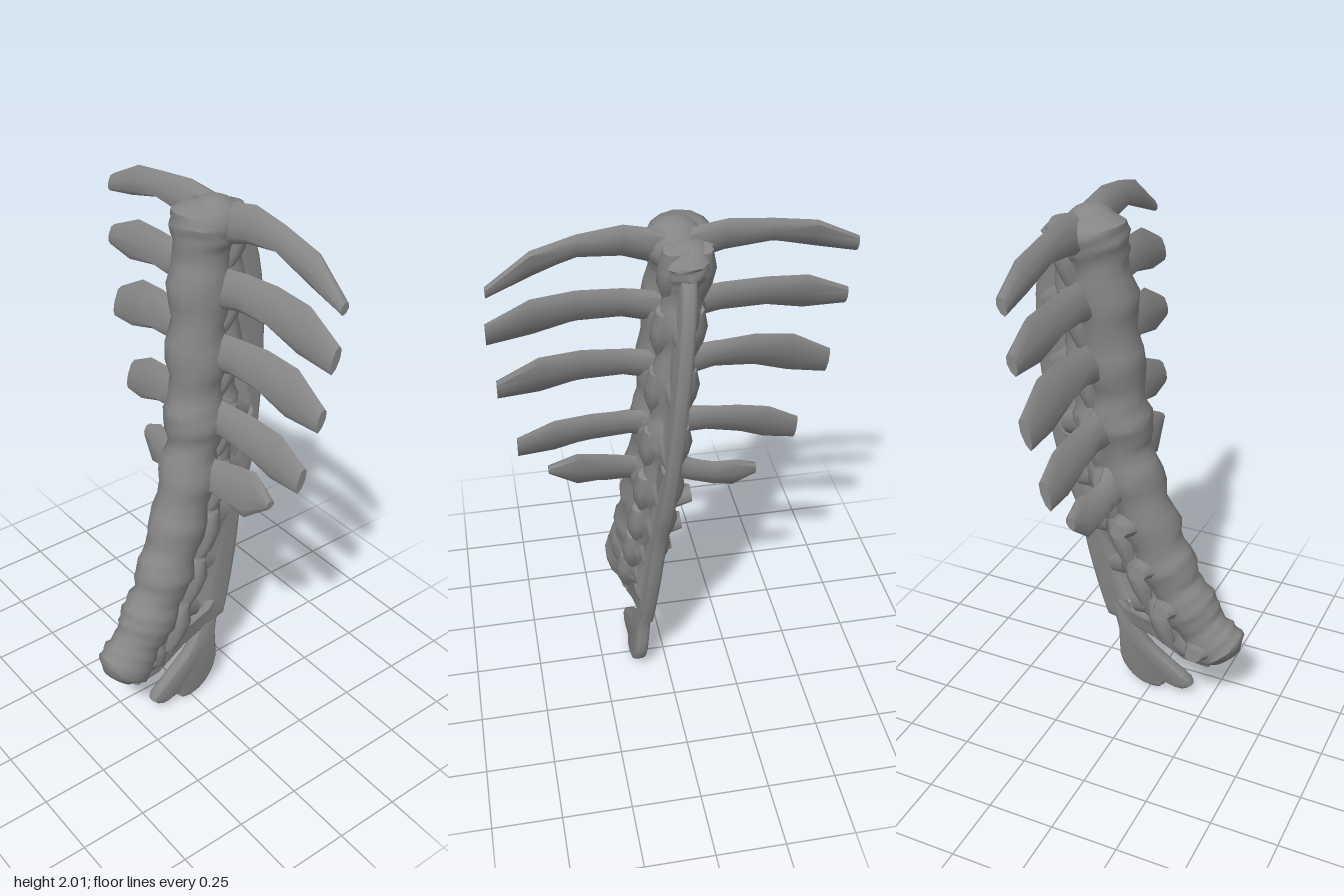
import * as THREE from 'three';
import { toCreasedNormals } from 'three/addons/utils/BufferGeometryUtils.js';

const bone = new THREE.MeshStandardMaterial({ color: 0x868686, side: THREE.DoubleSide });
const V = (x, y, z) => new THREE.Vector3(x, y, z);
const { lerp } = THREE.MathUtils;
const planeZ = (y) => 0.115 - 0.073 * y; // the middle plane leans with height

// Closed skin over rings {c, u, v}: centre and two half axes
function loft(rings, sides, lump) {
  const pos = [], idx = [];
  rings.forEach(({ c, u, v }, i) => {
    for (let k = 0; k < sides; k++) {
      const a = (k / sides) * Math.PI * 2;
      const s = 1 + lump * (Math.sin(3 * a + i * 1.7) + Math.sin(2 * a - i * 2.3));
      pos.push(...c.clone().addScaledVector(u, Math.cos(a) * s).addScaledVector(v, Math.sin(a) * s));
    }
  });
  const n = rings.length, first = n * sides, last = first + 1, top = first - sides;
  pos.push(...rings[0].c, ...rings[n - 1].c);
  const axis = rings[n - 1].c.clone().sub(rings[0].c);
  const flip = rings[0].u.clone().cross(rings[0].v).dot(axis) < 0;
  const tri = (a, b, c) => (flip ? idx.push(a, c, b) : idx.push(a, b, c));
  for (let k = 0; k < sides; k++) {
    const m = (k + 1) % sides;
    for (let i = 0; i < top; i += sides) {
      tri(i + k, i + m, i + m + sides);
      tri(i + k, i + m + sides, i + k + sides);
    }
    tri(first, m, k);
    tri(last, top + k, top + m);
  }
  const g = new THREE.BufferGeometry();
  g.setAttribute('position', new THREE.Float32BufferAttribute(pos, 3));
  g.setIndex(idx);
  return toCreasedNormals(g, 0.9);
}

// Centre line of the column and the heights of its vertebrae
const line = new THREE.CatmullRomCurve3(
  [[0.165, 1.97], [0.14, 1.83], [0.095, 1.35], [0.07, 1.1], [-0.05, 0.7], [-0.14, 0.5], [-0.23, 0.36], [-0.32, 0.25]]
    .map(([x, y]) => V(x, y, planeZ(y))));
const samples = line.getPoints(300);
const levels = [1.91, 1.69, 1.46, 1.22, 1, 0.81, 0.63, 0.46, 0.29];
const atHeight = (y) => samples.find((p) => p.y <= y);

// Beaded tube following the column at an offset, down to a fraction of its length
function beaded(offset, rx, rz, depth, lump, reach) {
  const rings = [], N = 54;
  for (let i = 0; i <= N; i++) {
    const t = reach * i / N, c = line.getPoint(t), tan = line.getTangent(t);
    const out = V(-tan.y, tan.x, 0).normalize();
    const near = Math.min(...levels.map((y) => Math.abs(y - c.y)));
    const end = Math.min(1, 0.6 + Math.min(i, N - i) * 0.2);
    const s = end * (1 + depth * (Math.cos(near * 28) - 0.2));
    // sideways width shrinks gently towards the lower end
    rings.push({ c: c.addScaledVector(out, offset), u: out.multiplyScalar(rx * s), v: V(0, 0, rz * s * (1 - 0.2 * t * t)) });
  }
  return loft(rings, 14, lump);
}

// Ribs per level: reach in z, tip drop, arch, half height along the blade and at the tip
const frontRibs = [
  [0.58, -0.09, 0.08, 0.044, 0.02], [0.59, -0.03, 0.05, 0.066, 0.045], [0.57, -0.02, 0.045, 0.07, 0.04],
  [0.52, -0.03, 0.03, 0.066, 0.045], [0.42, 0.05, 0, 0.074, 0.015]];
const backRibs = [
  [-0.585, -0.05, 0.05, 0.045, 0.03], [-0.57, -0.02, 0.03, 0.062, 0.035], [-0.53, -0.04, 0.045, 0.075, 0.055],
  [-0.44, -0.07, 0.02, 0.07, 0.055], [-0.31, -0.03, -0.03, 0.064, 0.025]];

// Flattened blade, its height leaning along the column and its edge thinning outwards
function rib(y, [reach, drop, arch, blade, tip]) {
  const x = atHeight(y).x + 0.04, heights = [0.07, 0.058, blade, blade * 1.1, tip];
  const tipX = reach > 0 ? x + 0.02 : lerp(x, 0.16, 0.5);
  return loft(heights.map((h, i) => {
    const t = i / 4;
    return {
      c: V(lerp(x, tipX, t), y + drop * t + arch * 4 * t * (1 - t), lerp(0.02 * Math.sign(reach), reach, t)),
      u: V(lerp(0.042, 0.017, Math.sqrt(t)), 0, 0),
      v: V(h * 0.3, h, 0),
    };
  }), 8, 0.05);
}

// Thin bevelled plate in the leaning middle plane
function plate(outline, holes) {
  const shape = new THREE.Shape(outline);
  shape.holes = holes.map(([x, y, rx, ry, turn]) =>
    new THREE.Path(new THREE.EllipseCurve(x, y, rx, ry, 0, Math.PI * 2, true, turn).getPoints(7).slice(0, 7)));
  const g = new THREE.ExtrudeGeometry(shape, {
    depth: 0.02, bevelSize: 0.012, bevelThickness: 0.014, bevelSegments: 2,
  });
  const p = g.attributes.position;
  for (let i = 0; i < p.count; i++) p.setZ(i, p.getZ(i) - 0.01 + planeZ(p.getY(i)));
  return toCreasedNormals(g, 0.9);
}
const spline = (pts, closed) => new THREE.CatmullRomCurve3(pts.map(([x, y]) => V(x, y, 0)), closed)
  .getPoints(32).slice(0, closed ? 32 : 33).map((p) => new THREE.Vector2(p.x, p.y));

// Outer edge of the joined spines, lower rim, then back up the column
function spinePlate() {
  const outer = spline([[0.2, 1.97], [0.28, 1.9], [0.345, 1.8], [0.38, 1.5], [0.33, 1], [0.265, 0.8],
    [0.23, 0.6], [0.19, 0.42], [0.165, 0.33]]);
  const rim = [[0.08, 0.31], [-0.03, 0.27], [-0.15, 0.2], [-0.24, 0.19]].map(([x, y]) => new THREE.Vector2(x, y));
  const inner = [];
  for (let y = 0.36; y < 1.95; y += 0.17) inner.push(new THREE.Vector2(atHeight(y).x, y));
  return plate([...outer, ...rim, ...inner],
    [[0.275, 1.16, 0.06, 0.045, 0], [0.17, 0.78, 0.045, 0.03, 0], [0.03, 0.38, 0.1, 0.034, 0.25]]);
}

// Lumpy spindle between two points; radii run along it
function spindle(from, to, radii, flat) {
  const dir = to.clone().sub(from).normalize();
  const side = dir.clone().cross(Math.abs(dir.z) > 0.8 ? V(0, 1, 0) : V(0, 0, 1)).normalize();
  const other = dir.clone().cross(side);
  return loft(radii.map((r, i) => ({
    c: from.clone().lerp(to, i / (radii.length - 1)),
    u: side.clone().multiplyScalar(r),
    v: other.clone().multiplyScalar(r * flat),
  })), 10, 0.06);
}

export function createModel() {
  const model = new THREE.Group();
  const add = (name, geometry) => {
    const mesh = new THREE.Mesh(geometry, bone);
    mesh.name = name;
    model.add(mesh);
    return mesh;
  };

  add('vertebralColumn', beaded(0, 0.107, 0.103, 0.1, 0.03, 1));
  add('neuralArch', beaded(0.1, 0.075, 0.066, 0.15, 0.05, 0.93));
  add('spinePlate', spinePlate());
  add('forkedLowerSpine', plate(spline([[0.15, 0.4], [0.12, 0.27], [0.115, 0.11], [0.07, 0.04], [0.02, 0.012],
    [-0.04, 0.015], [-0.05, 0.045], [-0.13, 0.035], [-0.165, 0.06], [-0.1, 0.115], [0.02, 0.21], [0.09, 0.34]], true), []));

  // Rounded upper end of the column
  const ball = add('upperEnd', new THREE.SphereGeometry(0.1, 16, 10));
  ball.position.set(0.175, 1.915, 0);
  ball.scale.set(0.95, 0.85, 0.95);

  frontRibs.forEach((r, i) => add('frontRib', rib(levels[i], r)));
  backRibs.forEach((r, i) => add('backRib', rib(levels[i], r)));

  levels.slice(0, 8).forEach((y, i) => {
    const { x, z } = atHeight(y);
    // Paired joint knobs bridging each arch to the next one down
    for (const side of [-1, 1]) {
      add('jointKnob', spindle(V(x + 0.06, y - 0.17, z + side * 0.04), V(x + 0.12, y + 0.03, z + side * 0.045),
        [0.025, 0.045, 0.05, 0.03], 1));
    }
    // Spine roots running from the arch into the plate
    if (i > 0) {
      add('spineRoot', spindle(V(x + 0.08, y, z), V(x + 0.23, y - 0.05, z), [0.08, 0.07, 0.05], 0.55));
    }
  });

  // Blunt processes on the back of the ribless lower levels
  levels.slice(5).forEach((y, i) => {
    const { x, z } = atHeight(y);
    add('sideProcess', spindle(V(x + 0.05, y, z), V(x + 0.06, y + 0.02, z - 0.15 + i * 0.01), [0.07, 0.06, 0.05, 0.035], 0.8));
  });
  return model;
}
